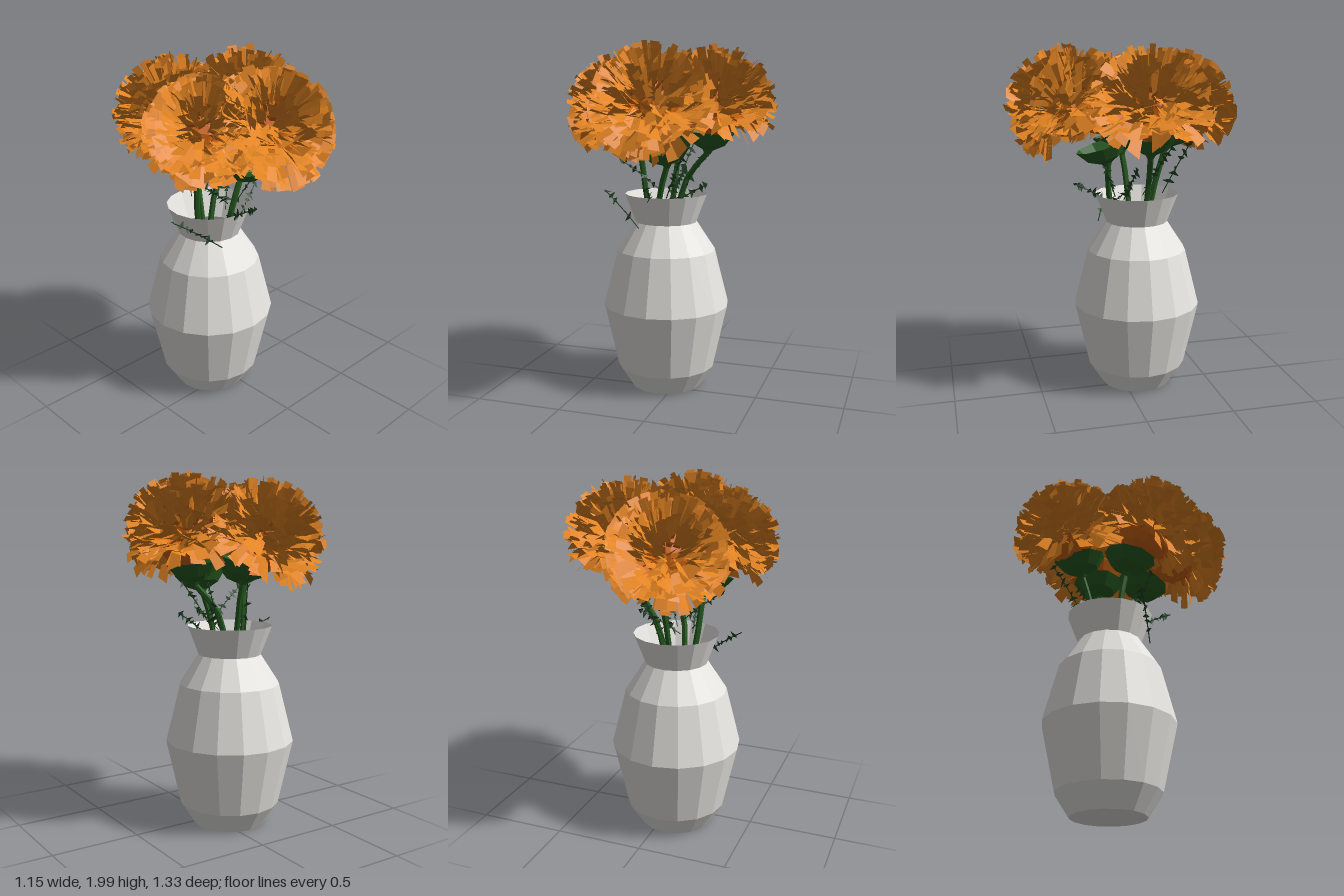
import * as THREE from 'three';
import { mergeGeometries } from 'three/addons/utils/BufferGeometryUtils.js';

const V = (x, y, z) => new THREE.Vector3(x, y, z);
const UP = V(0, 1, 0);

// small seeded random generator
let seed = 7;
const rand = () => {
  seed = (seed * 16807) % 2147483647;
  return seed / 2147483647;
};
const spread = (a) => (rand() * 2 - 1) * a;

const mat = (name, color) => new THREE.MeshStandardMaterial({
  name, color, flatShading: true, side: THREE.DoubleSide,
});

function mesh(name, geometry, material) {
  const m = new THREE.Mesh(geometry, material);
  m.name = name;
  return m;
}

function fromPoints(points) {
  const g = new THREE.BufferGeometry().setFromPoints(points);
  g.computeVertexNormals();
  return g;
}

// four flower heads: calyx tip, head centre, radius, stem point near the vase mouth
const FLOWERS = [
  { tip: V(0, 1.335, 0.1), centre: V(-0.015, 1.655, 0.315), r: 0.34, mouth: V(-0.05, 1.15, 0.08) },
  { tip: V(-0.2, 1.37, -0.03), centre: V(-0.26, 1.63, 0.08), r: 0.32, mouth: V(-0.18, 1.15, -0.06) },
  { tip: V(0.18, 1.4, -0.1), centre: V(0.22, 1.65, -0.09), r: 0.345, mouth: V(0.04, 1.22, -0.13) },
  { tip: V(-0.04, 1.41, -0.25), centre: V(-0.1, 1.62, -0.335), r: 0.335, mouth: V(-0.05, 1.15, -0.18) },
];

// radiating strips that widen outward, shaggy and shorter towards the underside
function petals(radius, count) {
  const inner = [], outer = [];
  const maxCos = Math.cos(THREE.MathUtils.degToRad(11));
  const minCos = Math.cos(THREE.MathUtils.degToRad(110));
  for (let i = 0; i < count; i++) {
    const theta = Math.acos(maxCos - (maxCos - minCos) * (i + rand()) / count);
    const phi = i * 2.39996 + spread(0.4);
    const under = Math.max(0, theta - 1.8) * 0.5;
    const length = radius * (0.74 + 0.28 * Math.sqrt(rand()) - under);
    const twist = spread(0.85), bend = spread(0.24) * Math.min(1, theta);
    const dir = (t) => V(Math.sin(t) * Math.cos(phi), Math.cos(t), Math.sin(t) * Math.sin(phi));
    const across = V(-Math.sin(phi), 0, Math.cos(phi)).applyAxisAngle(dir(theta), twist);
    const width = (0.028 + rand() * 0.014) * (0.45 + 0.55 * Math.sin(theta));
    const rows = [[0.2, 0.25, 0], [0.62, 0.65, 0], [1, 1, bend]].map(([k, w, b]) => {
      const p = dir(theta + b).multiplyScalar(length * k);
      return [-1, 1].map((s) => p.clone().addScaledVector(across, s * width * w));
    });
    [inner, outer].forEach((list, j) => {
      const [a, b] = rows[j], [c, d] = rows[j + 1];
      list.push(a, c, b, b, c, d);
    });
  }
  return [fromPoints(inner), fromPoints(outer)];
}

// thin twig with scattered pointed leaves
function twig(a, b) {
  const curve = new THREE.QuadraticBezierCurve3(a, a.clone().lerp(b, 0.5).add(V(0, 0.015, 0)), b);
  const along = b.clone().sub(a).normalize();
  const leaves = [];
  for (let i = 2; i <= 9; i++) {
    const p = curve.getPoint((i - rand() * 0.6) / 9);
    const side = V(spread(1), spread(1), spread(1)).cross(along).normalize();
    for (const s of [-1, 1]) {
      const end = p.clone().addScaledVector(side, s * (0.015 + rand() * 0.025)).addScaledVector(along, spread(0.02));
      leaves.push(p.clone().addScaledVector(along, -0.01), end, p.clone().addScaledVector(along, 0.016));
    }
  }
  const stalk = new THREE.TubeGeometry(curve, 4, 0.003, 4).toNonIndexed();
  stalk.deleteAttribute('uv');
  return mergeGeometries([stalk, fromPoints(leaves)]);
}

export function createModel() {
  seed = 7;
  const ceramic = mat('light grey ceramic', 0xe7e5e1);
  const orange = mat('petal orange', 0xe28322);
  const deepOrange = mat('deep orange', 0xcb630e);
  const green = mat('leaf green', 0x265a20);
  const darkGreen = mat('dark green', 0x1f4022);
  const model = new THREE.Group();
  model.name = 'vaseOfFlowers';

  // faceted open vase
  const profile = [
    [0.001, 0], [0.205, 0], [0.285, 0.125], [0.367, 0.495], [0.285, 0.82],
    [0.177, 0.985], [0.24, 1.15],
  ].map(([r, y]) => new THREE.Vector2(r, y));
  const vase = mesh('vase', new THREE.LatheGeometry(profile, 16), ceramic);
  vase.position.set(-0.065, 0, -0.087);
  model.add(vase);

  for (const f of FLOWERS) {
    const flower = new THREE.Group();
    flower.name = 'flower';
    const axis = f.centre.clone().sub(f.tip).normalize();
    const turn = new THREE.Quaternion().setFromUnitVectors(UP, axis);

    // stem
    const foot = V(-0.065 - (f.mouth.x + 0.065) * 0.6, 0.15, -0.087 - (f.mouth.z + 0.087) * 0.6);
    const path = new THREE.CatmullRomCurve3([foot, f.mouth, f.tip, f.tip.clone().addScaledVector(axis, 0.08)]);
    flower.add(mesh('stem', new THREE.TubeGeometry(path, 14, 0.017, 6), green));

    // calyx cup, tilted half as far as the head
    const cup = [[0.015, -0.02], [0.03, 0.005], [0.1, 0.04], [0.15, 0.11]]
      .map(([r, y]) => new THREE.Vector2(r, y));
    const calyx = mesh('calyx', new THREE.LatheGeometry(cup, 9), green);
    calyx.position.copy(f.tip);
    calyx.quaternion.slerp(turn, 0.5);
    flower.add(calyx);

    // head: core and petals
    const head = new THREE.Group();
    head.name = 'flowerHead';
    head.position.copy(f.centre);
    head.quaternion.copy(turn);
    const core = mesh('core', new THREE.SphereGeometry(0.165, 12, 8), deepOrange);
    const [inner, outer] = petals(f.r, 500);
    head.add(core, mesh('petalBases', inner, deepOrange), mesh('petalTips', outer, orange));
    flower.add(head);
    model.add(flower);
  }

  // leafy twigs leaning out of the mouth
  const twigs = [
    [V(-0.16, 0.97, 0.12), V(-0.41, 1.16, 0.0)],
    [V(-0.05, 1.18, 0.05), V(-0.28, 1.36, 0.1)],
    [V(-0.02, 1.08, 0.1), V(0.2, 1.22, 0.02)],
    [V(0.02, 1.15, -0.1), V(0.18, 1.44, -0.22)],
    [V(-0.02, 1.14, 0.05), V(0.1, 1.38, 0.15)],
    [V(-0.06, 1.14, -0.24), V(0.04, 1.5, -0.41)],
    [V(-0.1, 1.1, 0.08), V(-0.06, 1.22, 0.28)],
    [V(-0.02, 1.12, 0), V(0.06, 1.3, -0.06)],
  ];
  for (const [a, b] of twigs) model.add(mesh('twig', twig(a, b), darkGreen));

  return model;
}
